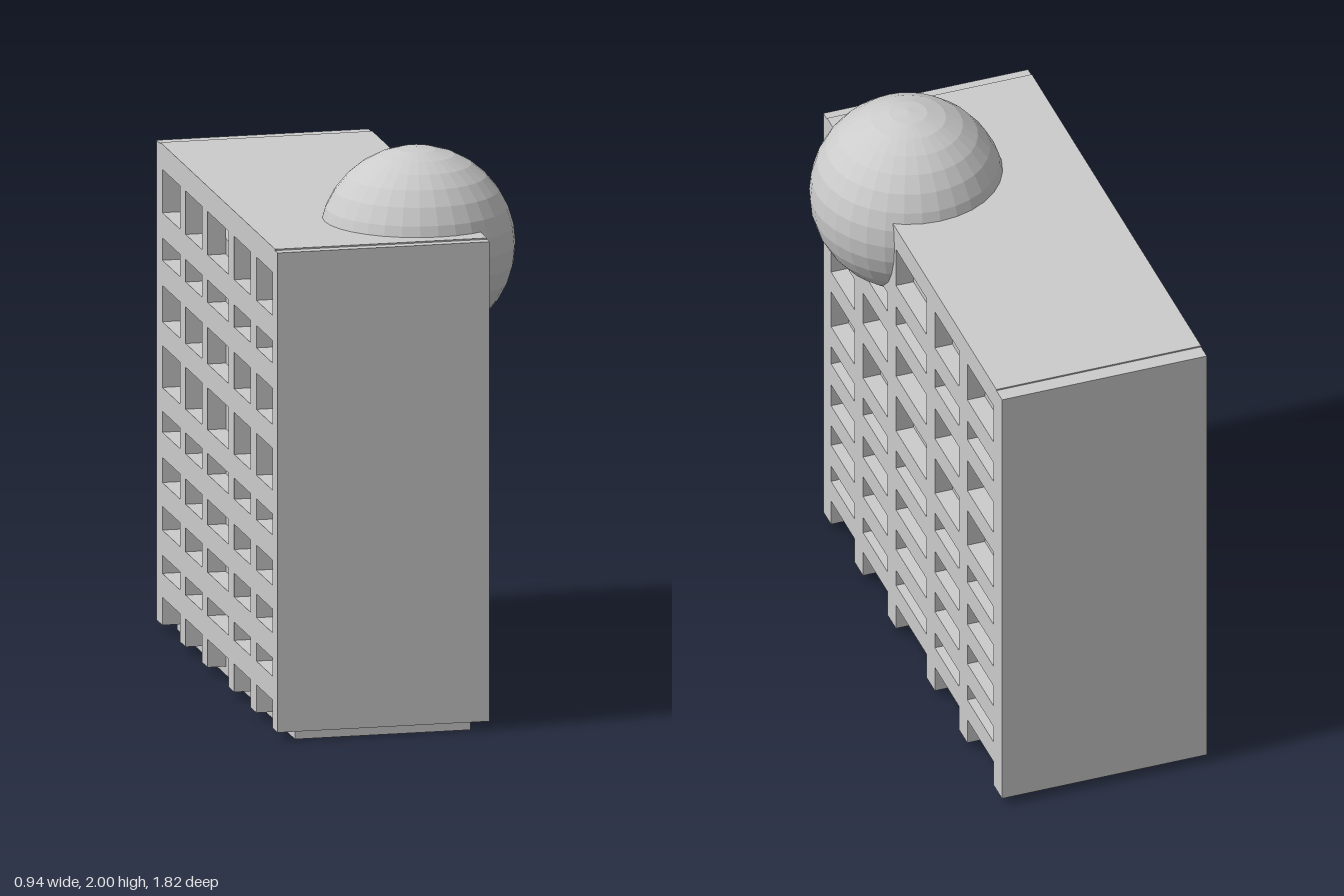
import * as THREE from 'three';

const X0 = -0.475, X1 = 0.285, WALL = 0.065;     // block width and facade thickness
const Z0 = -0.908, Z1 = 0.908, BASE = 0.03, TOP = 1.745;

// Window bays along z and storeys along y, as [from, to]
const bays = [[-0.82, -0.555], [-0.47, -0.225], [-0.14, 0.17], [0.257, 0.505], [0.59, 0.83]];
const storeys = [
  [0.215, 0.28], [0.37, 0.455], [0.54, 0.63], [0.72, 0.795],
  [0.88, 1.03], [1.115, 1.245], [1.335, 1.415], [1.505, 1.66],
];
const DOOR_TOP = 0.13;

export function createModel() {
  const group = new THREE.Group();
  const material = new THREE.MeshStandardMaterial({ color: 0xcccccc, flatShading: true });

  function add(name, geometry) {
    const mesh = new THREE.Mesh(geometry, material);
    mesh.name = name;
    group.add(mesh);
    return mesh;
  }

  // Box given by its limits on each axis
  function block(name, x0, x1, y0, y1, z0, z1) {
    add(name, new THREE.BoxGeometry(x1 - x0, y1 - y0, z1 - z0))
      .position.set((x0 + x1) / 2, (y0 + y1) / 2, (z0 + z1) / 2);
  }

  // Facade outline: the ground storey openings are notches between short legs
  const facade = new THREE.Shape();
  facade.moveTo(Z0, BASE);
  for (const [a, b] of bays) {
    facade.lineTo(a, BASE);
    facade.lineTo(a, DOOR_TOP);
    facade.lineTo(b, DOOR_TOP);
    facade.lineTo(b, BASE);
  }
  facade.lineTo(Z1, BASE);
  facade.lineTo(Z1, TOP);
  facade.lineTo(Z0, TOP);
  facade.closePath();

  // Window openings
  for (const [a, b] of bays) {
    for (const [c, d] of storeys) {
      const hole = new THREE.Path();
      hole.moveTo(a, c);
      hole.lineTo(a, d);
      hole.lineTo(b, d);
      hole.lineTo(b, c);
      hole.closePath();
      facade.holes.push(hole);
    }
  }

  // Both long facades, turned so the outline runs along z
  const facadeGeometry = new THREE.ExtrudeGeometry(facade, { depth: WALL, bevelEnabled: false });
  facadeGeometry.rotateY(-Math.PI / 2);
  add('leftFacade', facadeGeometry).position.x = X1;
  add('rightFacade', facadeGeometry).position.x = X0 + WALL;

  // Blank end walls between the facades
  const inL = X0 + WALL, inR = X1 - WALL;
  block('frontWall', inL, inR, BASE, TOP, 0.83, Z1);
  block('backWall', inL, inR, BASE, TOP, Z0, -0.82);

  // Inner core, stopping short of the ceiling so the top storey is see-through
  block('core', inL, inR, 0, 1.56, -0.87, 0.895);

  // Roof slab and the thin covering on it
  block('roofSlab', inL, inR, 1.66, TOP, -0.82, 0.83);
  block('roofCovering', X0, X1, TOP, 1.75, -0.85, 0.87);

  // Dome ball sunk into the roof and one facade
  add('sphere', new THREE.SphereGeometry(0.345, 32, 16)).position.set(0.124, 1.655, 0.488);

  return group;
}
